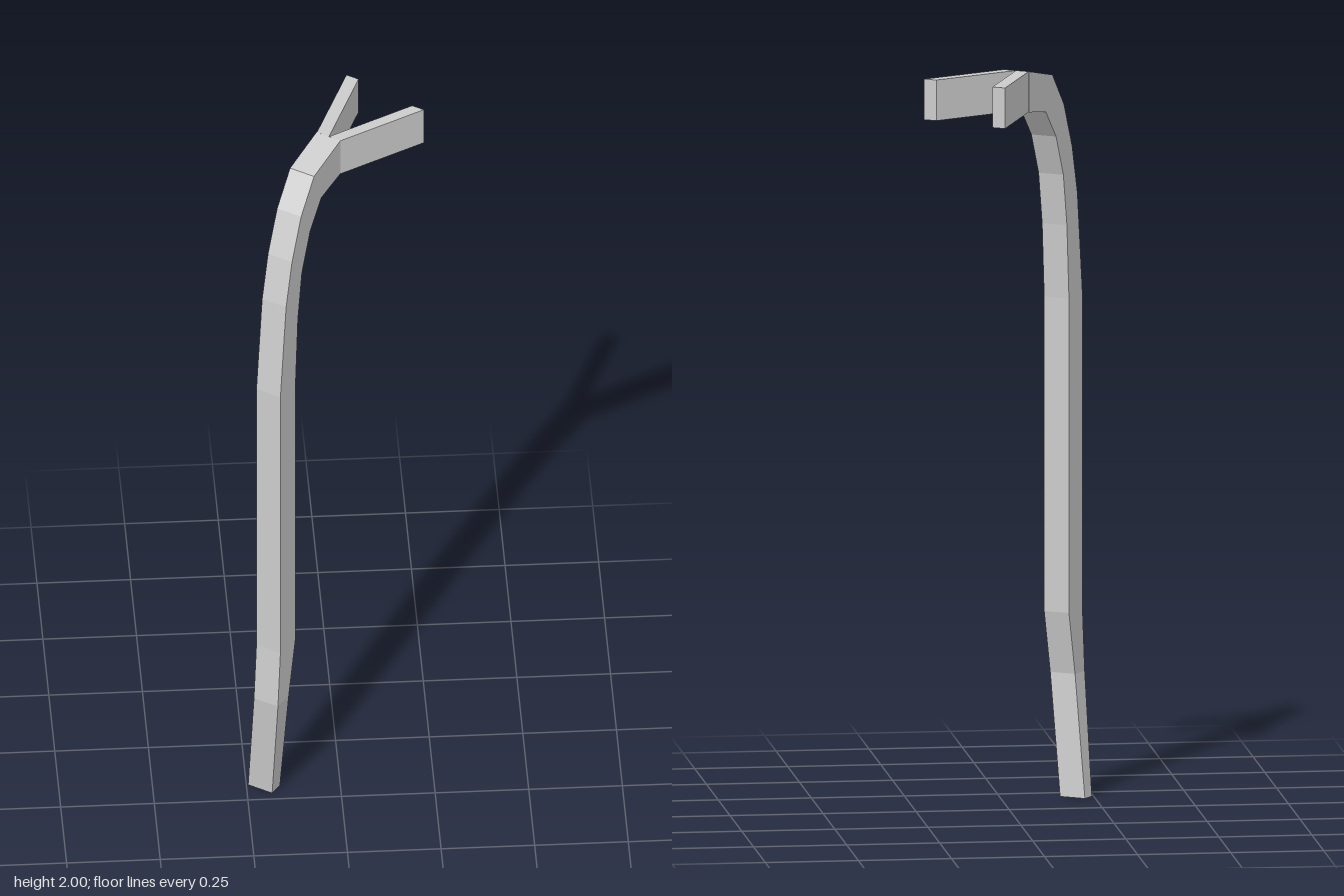
import * as THREE from 'three';

// Plan directions: the bar bends along D, its width runs along S
const D = [0.56, -0.83];
const S = [0.83, 0.56];
const place = (p, q, y) => [D[0] * p + S[0] * q, y, D[1] * p + S[1] * q];

// Cross-sections from foot to fork: outer reach, outer height, inner reach, inner height, sideways shift
const SECTIONS = [
  [-0.288, 0, -0.247, 0, -0.042],
  [-0.329, 0.33, -0.272, 0.33, 0],
  [-0.316, 0.5, -0.236, 0.5, 0],
  [-0.316, 1.35, -0.236, 1.35, 0],
  [-0.286, 1.63, -0.224, 1.55, 0],
  [-0.255, 1.76, -0.203, 1.69, 0],
  [-0.207, 1.88, -0.16, 1.8, 0],
  [-0.139, 1.97, -0.1, 1.875, 0],
  [0, 2, 0, 1.89, 0],
];
const Q0 = -0.059, Q1 = 0.015;

// Four-sided bar lofted through the cross-sections
function barGeometry() {
  const rings = SECTIONS.map(([po, yo, pi, yi, shift]) => [
    place(po, Q0 + shift, yo), place(po, Q1 + shift, yo),
    place(pi, Q1 + shift, yi), place(pi, Q0 + shift, yi),
  ]);
  const pos = [];
  const quad = (a, b, c, d) => pos.push(...a, ...b, ...c, ...a, ...c, ...d);
  for (let i = 0; i < rings.length - 1; i++) {
    const r = rings[i], n = rings[i + 1];
    for (let k = 0; k < 4; k++) {
      const j = (k + 1) % 4;
      quad(r[k], r[j], n[j], n[k]);
    }
  }
  const foot = rings[0], end = rings[rings.length - 1];
  quad(foot[0], foot[3], foot[2], foot[1]);
  quad(...end);
  const geo = new THREE.BufferGeometry();
  geo.setAttribute('position', new THREE.Float32BufferAttribute(pos, 3));
  geo.computeVertexNormals();
  return geo;
}

// Flat prong: plan outline in x, z raised to the bar's end thickness
function prongGeometry(outline) {
  const shape = new THREE.Shape(outline.map(([x, z]) => new THREE.Vector2(x, -z)));
  const geo = new THREE.ExtrudeGeometry(shape, { depth: 0.11, bevelEnabled: false });
  return geo.rotateX(-Math.PI / 2).translate(0, 1.89, 0);
}

export function createModel() {
  const group = new THREE.Group();
  group.name = 'forkedBar';
  const material = new THREE.MeshStandardMaterial({ color: 0xcccccc, flatShading: true });
  const add = (name, geo) => {
    const mesh = new THREE.Mesh(geo, material);
    mesh.name = name;
    group.add(mesh);
  };

  add('bentBar', barGeometry());

  // Two prongs meeting at the crotch of the fork
  const crotch = [-0.017, -0.011];
  add('rearProng', prongGeometry([[-0.048, -0.032], crotch, [0.078, -0.262], [0.047, -0.283]]));
  add('leftProng', prongGeometry([crotch, [0.013, 0.009], [0.243, -0.115], [0.213, -0.135]]));
  return group;
}
